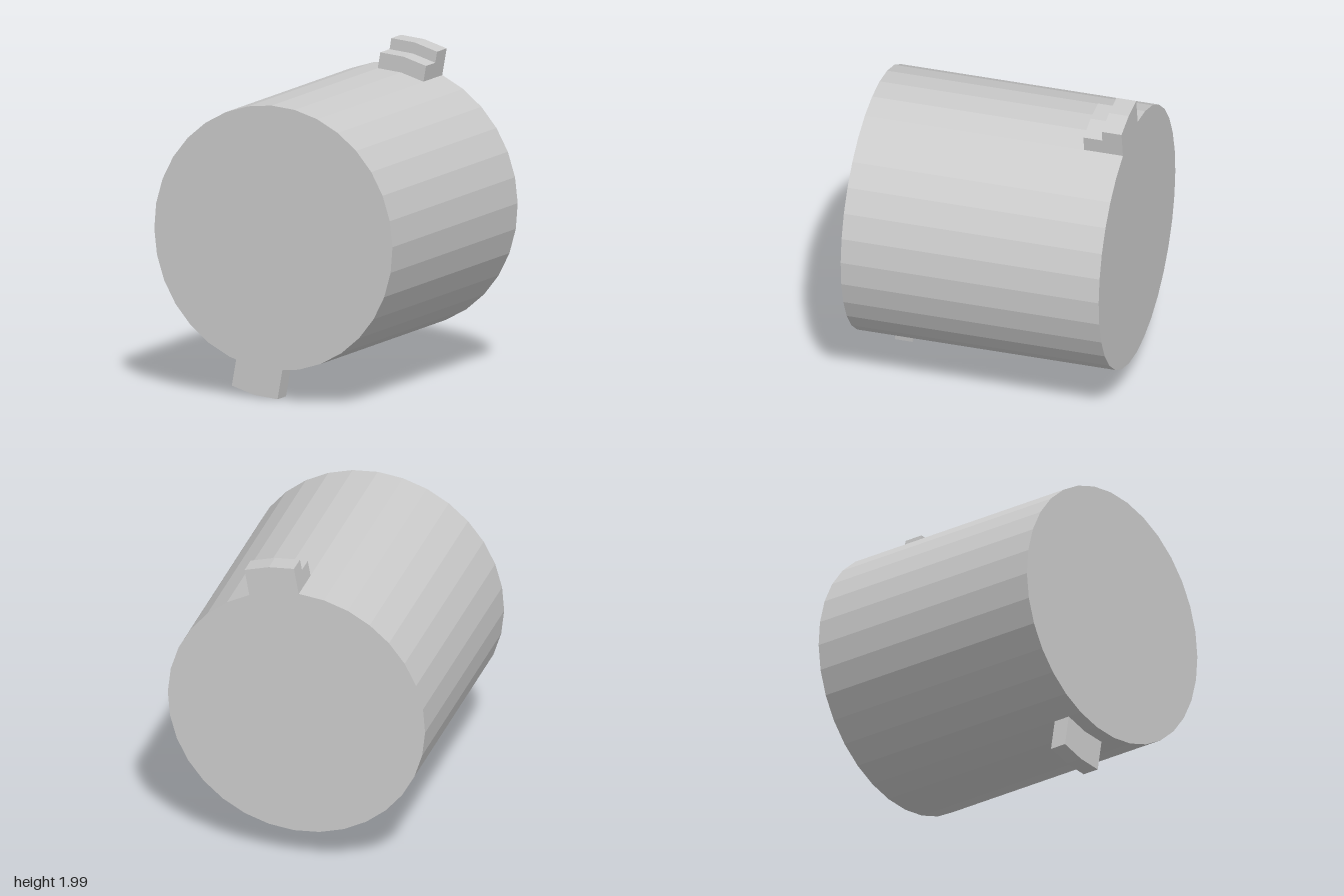
import * as THREE from 'three';

const SIDES = 32;
const RADIUS = 1.63 / 2;
const HALF_LENGTH = 1.63 / 2;
const CENTRE_Y = 0.2 + RADIUS;
const TURN = THREE.MathUtils.degToRad(1);

// Corner i of the drum's polygon, counted anticlockwise from +x
function corner(i) {
  const a = TURN + (i / SIDES) * Math.PI * 2;
  return new THREE.Vector2(Math.cos(a) * RADIUS, Math.sin(a) * RADIUS);
}

// Flat-sided prism between two depths
function prism(name, points, zBack, zFront, material) {
  const geometry = new THREE.ExtrudeGeometry(new THREE.Shape(points), {
    depth: zFront - zBack, bevelEnabled: false,
  });
  const mesh = new THREE.Mesh(geometry, material);
  mesh.name = name;
  mesh.position.set(0, CENTRE_Y, zBack);
  return mesh;
}

// Tab outline: two neighbouring drum facets pushed straight out at their shared corner
function tabOutline(middle, height) {
  const inner = [middle - 1, middle, middle + 1].map(corner);
  const push = corner(middle).setLength(height);
  const outer = inner.map((p) => p.clone().add(push));
  return [...inner, ...outer.reverse()];
}

export function createModel() {
  const material = new THREE.MeshStandardMaterial({ color: 0xcccccc, flatShading: true });
  const model = new THREE.Group();
  model.name = 'keyedDrum';

  // Drum
  const rim = Array.from({ length: SIDES }, (_, i) => corner(i));
  model.add(prism('drum', rim, -HALF_LENGTH, HALF_LENGTH, material));

  // Stepped tab on top at the back
  const topTab = new THREE.Group();
  topTab.name = 'topTab';
  topTab.add(
    prism('tallStep', tabOutline(7, 0.17), -HALF_LENGTH, -0.69, material),
    prism('lowStep', tabOutline(7, 0.1), -0.69, -0.57, material),
  );
  model.add(topTab);

  // Plain tab underneath at the front
  model.add(prism('bottomTab', tabOutline(23, 0.2), 0.61, 0.72, material));

  return model;
}
